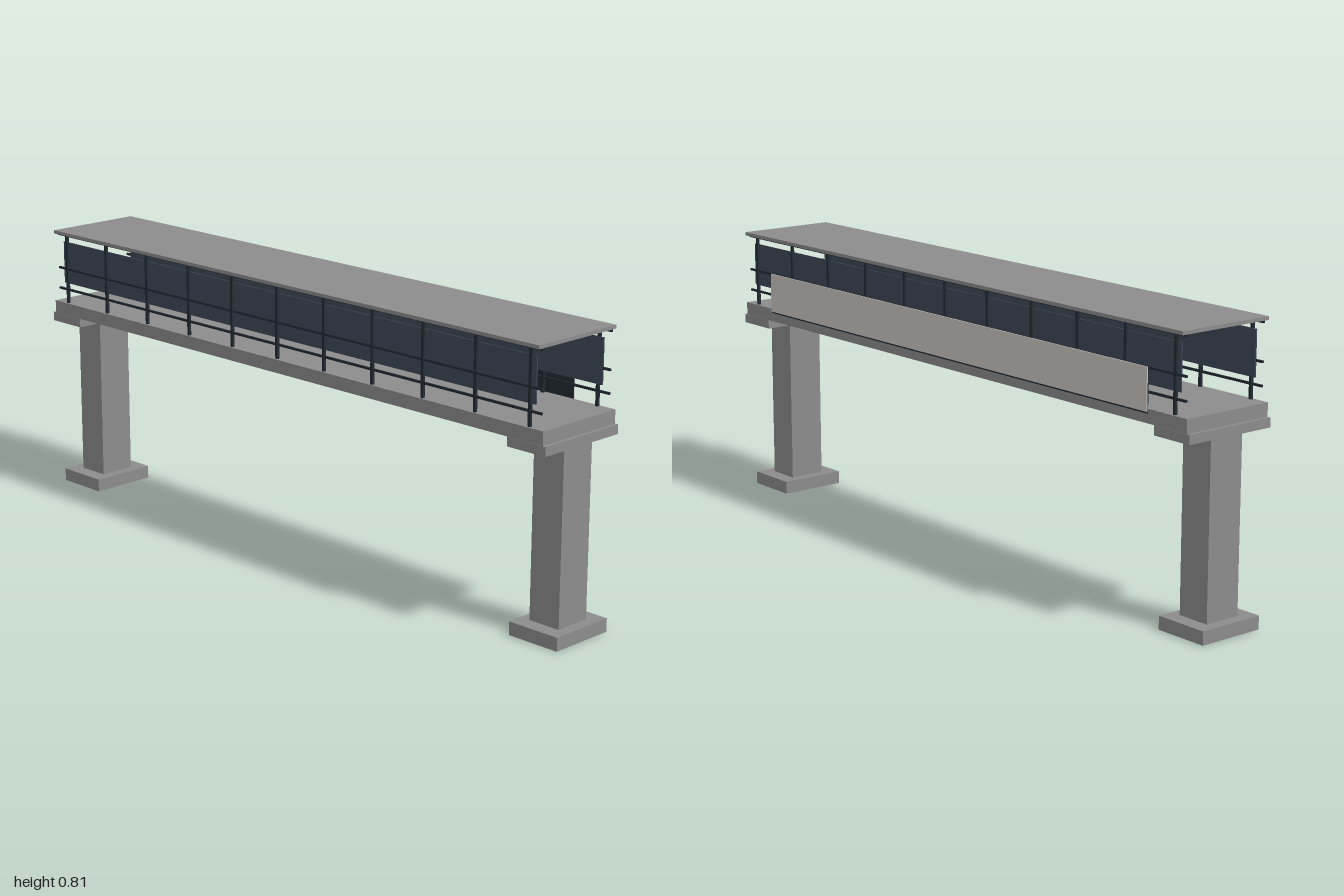
import * as THREE from 'three';

export function createModel() {
  const model = new THREE.Group();
  model.name = 'footbridge';

  const mat = (name, color) => {
    const m = new THREE.MeshStandardMaterial({ color });
    m.name = name;
    return m;
  };
  const concrete = mat('concrete', 0x8c8c8c);
  const steel = mat('darkSteel', 0x222a33);
  const mesh = mat('blueGreyScreen', 0x3e4757);
  const board = mat('paleBoard', 0xc9c5c0);

  // Box given by its extents: [min, max] along x, y and z
  const box = (name, material, [x0, x1], [y0, y1], [z0, z1], parent = model) => {
    const part = new THREE.Mesh(new THREE.BoxGeometry(x1 - x0, y1 - y0, z1 - z0), material);
    part.position.set((x0 + x1) / 2, (y0 + y1) / 2, (z0 + z1) / 2);
    part.name = name;
    parent.add(part);
  };

  // Deck and roof
  box('deck', concrete, [-0.142, 0.142], [0.552, 0.59], [-0.97, 0.97]);
  box('roof', concrete, [-0.15, 0.15], [0.8, 0.81], [-0.957, 0.957]);

  // Piers at both ends
  for (const s of [1, -1]) {
    const pier = new THREE.Group();
    pier.name = s > 0 ? 'frontPier' : 'backPier';
    const span = (a, b) => (s > 0 ? [a, b] : [-b, -a]);
    box('footing', concrete, [-0.1, 0.1], [0, 0.038], span(0.838, 1), pier);
    box('column', concrete, [-0.055, 0.055], [0.038, 0.526], span(0.868, 0.967), pier);
    box('pierCap', concrete, [-0.143, 0.143], [0.526, 0.552], span(0.853, 0.98), pier);
    model.add(pier);
  }

  // Railings with posts, rails and screens along both sides
  for (const s of [1, -1]) {
    const railing = new THREE.Group();
    railing.name = s > 0 ? 'leftRailing' : 'rightRailing';
    const side = (a, b) => (s > 0 ? [a, b] : [-b, -a]);
    for (let i = -5; i <= 5; i++) {
      const z = i * 0.1835;
      box('post', steel, side(0.129, 0.137), [0.59, 0.8], [z - 0.004, z + 0.004], railing);
    }
    for (const y of [0.631, 0.694, 0.797]) {
      box('rail', steel, side(0.13, 0.136), [y - 0.003, y + 0.003], [-0.957, 0.957], railing);
    }
    box('screen', mesh, side(0.128, 0.132), [0.65, 0.776], [-0.935, 0.935], railing);
    model.add(railing);
  }

  // Blank board hung on the left side only
  box('boardBacking', steel, [0.1425, 0.1445], [0.578, 0.7], [-0.83, 0.83]);
  box('boardFace', board, [0.1445, 0.148], [0.583, 0.699], [-0.829, 0.829]);

  return model;
}
